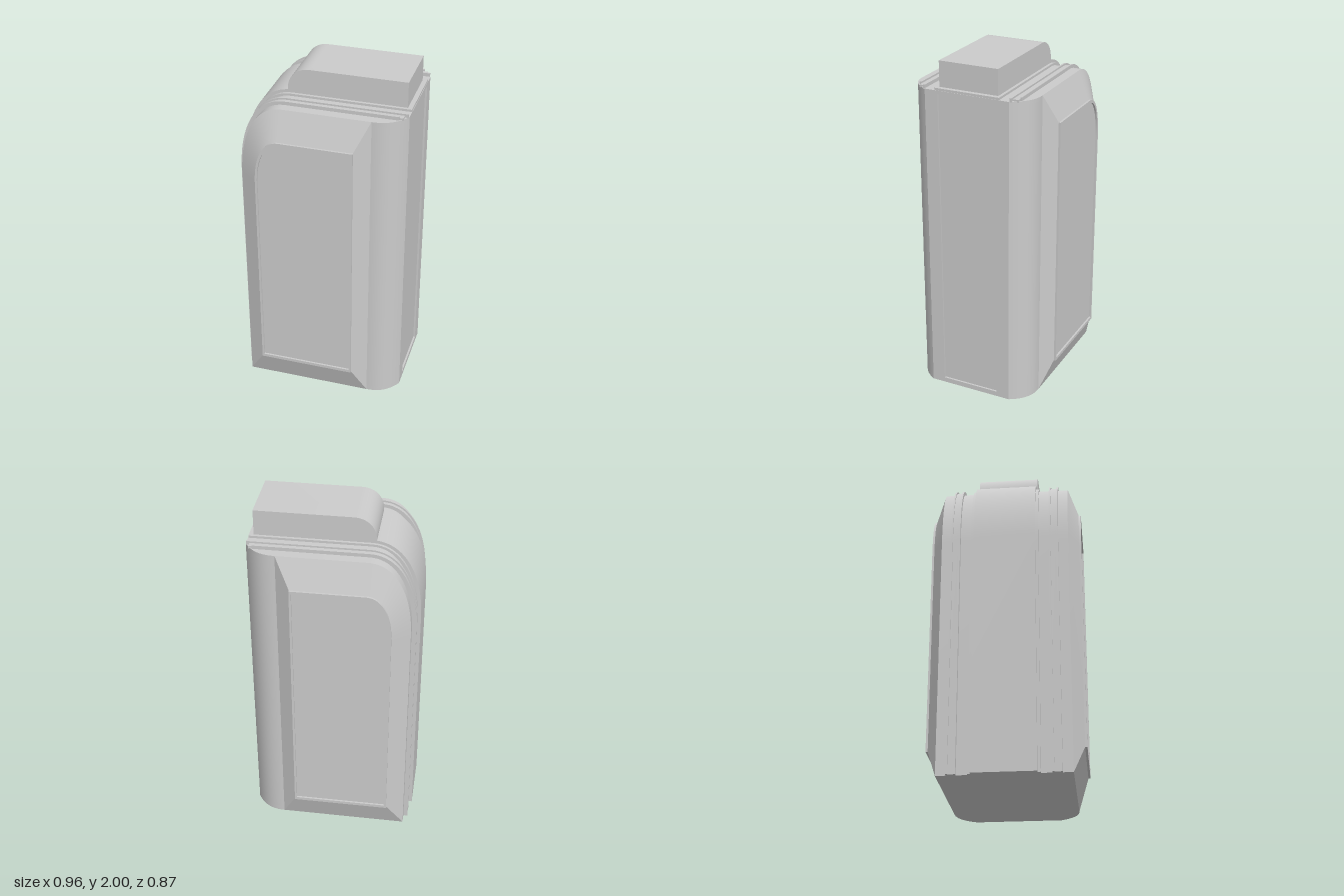
import * as THREE from 'three';
import { toCreasedNormals } from 'three/addons/utils/BufferGeometryUtils.js';

const grey = new THREE.MeshStandardMaterial({ color: 0xcccccc });
const V = (x, y) => new THREE.Vector2(x, y);

// Side outline from the foot of the curved edge, over the shoulder, to (endX, top)
function shoulder(left, top, curveY, curveX, endX) {
  const h = top - curveY, w = curveX - left;
  const curve = new THREE.CubicBezierCurve(
    V(left, curveY), V(left, curveY + h * 0.58), V(left + w * 0.36, top), V(curveX, top));
  return [...curve.getPoints(20), V(endX, top)];
}

// Closed loop, counter-clockwise seen from the front
const loop = (left, bottom, right, top, curveY, curveX) =>
  [V(left, bottom), V(right, bottom), ...shoulder(left, top, curveY, curveX, right).reverse()];

function part(name, geometry) {
  const mesh = new THREE.Mesh(toCreasedNormals(geometry, 0.45), grey);
  mesh.name = name;
  return mesh;
}

// Outline in x/y, extruded from z0 to z1
function slab(points, z0, z1) {
  const g = new THREE.ExtrudeGeometry(new THREE.Shape(points), { depth: z1 - z0, bevelEnabled: false });
  return g.translate(0, 0, z0);
}

// Footprint in x/z, extruded from y0 to y1
function column(points, y0, y1) {
  const flipped = points.map(p => V(p.x, -p.y));
  return slab(flipped, y0, y1).rotateX(-Math.PI / 2);
}

// Raised strip running over the curved edge and the top
function band(name, left, top, endX, z0, z1) {
  const outer = shoulder(left, top, 1.4, -0.2, endX);
  const inner = shoulder(-0.435, 1.835, 1.4, -0.2, endX).reverse();
  return part(name, slab([V(left, 0), ...outer, ...inner, V(-0.435, 0)], z0, z1));
}

// Sloped side with a raised rim and a sunk panel; s = 1 front, -1 back
function sidePanel(s) {
  const rim = loop(-0.34, 0.17, 0.217, 1.67, 1.4, -0.2);
  const inset = loop(-0.328, 0.188, 0.205, 1.652, 1.4, -0.2);
  const rings = [
    [loop(-0.44, 0, 0.3, 1.84, 1.4, -0.2), 0.365],
    [rim, 0.425], [rim, 0.437], [inset, 0.437], [inset, 0.426],
  ];
  const pos = [];
  const tri = (a, b, c) => (s > 0 ? [a, b, c] : [a, c, b]).forEach(([p, z]) => pos.push(p.x, p.y, z * s));
  for (let k = 0; k < rings.length - 1; k++) {
    const [a, za] = rings[k], [b, zb] = rings[k + 1];
    for (let i = 0; i < a.length; i++) {
      const j = (i + 1) % a.length;
      tri([a[i], za], [a[j], za], [b[j], zb]);
      tri([a[i], za], [b[j], zb], [b[i], zb]);
    }
  }
  // Panel floor
  for (const f of THREE.ShapeUtils.triangulateShape(inset, []))
    tri(...f.map(i => [inset[i], 0.426]));
  const g = new THREE.BufferGeometry();
  g.setAttribute('position', new THREE.Float32BufferAttribute(pos, 3));
  return part(s > 0 ? 'frontPanel' : 'backPanel', g);
}

export function createModel() {
  const group = new THREE.Group();
  group.name = 'casing';

  // Main body
  group.add(part('body', slab(loop(-0.44, 0, 0.3, 1.84, 1.4, -0.2), -0.365, 0.365)));

  // Rounded end column with a shallow sunk panel
  const corner = new THREE.CubicBezierCurve(
    V(0.3, 0.365), V(0.37, 0.365), V(0.43, 0.34), V(0.478, 0.253)).getPoints(16);
  const mirrored = corner.map(p => V(p.x, -p.y)).reverse();
  const notch = [V(0.478, 0.175), V(0.467, 0.175), V(0.467, -0.175), V(0.478, -0.175)];
  const full = [...corner, ...mirrored];
  group.add(part('endFoot', column(full, 0, 0.03)));
  group.add(part('endColumn', column([...corner, ...notch, ...mirrored], 0.03, 1.82)));
  group.add(part('endHead', column(full, 1.82, 1.84)));

  // Side panels and grooved ribs on both sides
  for (const s of [1, -1]) {
    group.add(sidePanel(s));
    const rib = (name, left, top, endX, a, b) =>
      group.add(band(name, left, top, endX, Math.min(a * s, b * s), Math.max(a * s, b * s)));
    rib('ribOuterLip', -0.465, 1.86, 0.435, 0.298, 0.308);
    rib('ribGroove', -0.456, 1.85, 0.455, 0.265, 0.298);
    rib('ribInnerLip', -0.465, 1.86, 0.474, 0.255, 0.265);
  }

  // Central spine in two steps
  group.add(band('spineBase', -0.46, 1.853, 0.476, -0.194, 0.194));
  group.add(band('spine', -0.48, 1.87, -0.15, -0.177, 0.177));

  // Top block with one rounded edge
  const cap = new THREE.Shape();
  cap.moveTo(-0.224, 1.84);
  cap.lineTo(0.45, 1.84);
  cap.lineTo(0.45, 2);
  cap.lineTo(-0.1, 2);
  cap.bezierCurveTo(-0.17, 2, -0.224, 1.95, -0.224, 1.87);
  group.add(part('topBlock', slab(cap.getPoints(14), -0.177, 0.177)));

  return group;
}
